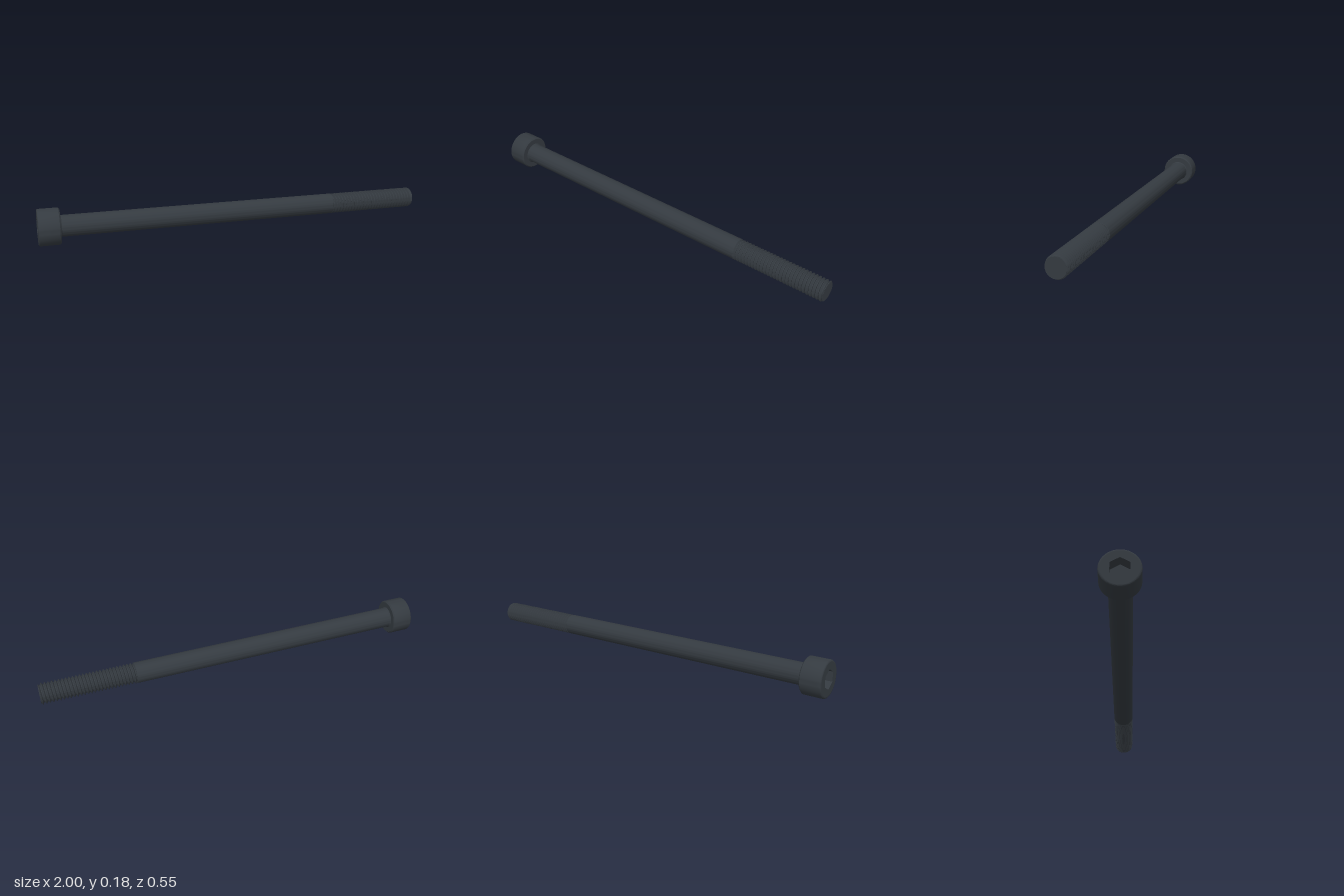
import * as THREE from 'three';
import { toCreasedNormals } from 'three/addons/utils/BufferGeometryUtils.js';

// Distances along the bolt axis, from the outer face of the head to the tip
const HEAD = 0.107, THREAD_START = 1.535, LENGTH = 2.014;
const HEAD_R = 0.0905, SHANK_R = 0.053, ROOT_R = 0.0437, TIP_R = 0.047;
const SOCKET_R = 0.049, SOCKET_DEPTH = 0.053, PITCH = 0.0171;

export function createModel() {
  const steel = new THREE.MeshStandardMaterial({ color: 0x343a40 });
  steel.name = 'dark steel';

  const bolt = new THREE.Group();
  bolt.name = 'bolt';
  const add = (name, geometry) => {
    const mesh = new THREE.Mesh(geometry, steel);
    mesh.name = name;
    bolt.add(mesh);
  };
  // Revolves [radius, distance] points around the axis
  const revolve = (points, segments = 64) =>
    new THREE.LatheGeometry(points.map(([r, y]) => new THREE.Vector2(r, y)), segments);
  const crease = (geometry, angle = 0.5) => toCreasedNormals(geometry, angle);

  // Head side with rounded outer edge and chamfered underside
  const head = [];
  const fillet = 0.009;
  for (let i = 0; i <= 5; i++) {
    const a = (i / 5) * Math.PI / 2;
    head.push([HEAD_R - fillet + fillet * Math.sin(a), fillet - fillet * Math.cos(a)]);
  }
  head.push([HEAD_R, HEAD - 0.006], [HEAD_R - 0.006, HEAD], [SHANK_R - 0.003, HEAD]);
  add('head', crease(revolve(head)));

  // Outer face with the hexagonal socket cut into it
  const face = new THREE.Shape().absarc(0, 0, HEAD_R - fillet, 0, Math.PI * 2);
  const hexagon = [];
  for (let i = 0; i < 6; i++) {
    const a = i * Math.PI / 3;
    hexagon.push(new THREE.Vector2(SOCKET_R * Math.cos(a), SOCKET_R * Math.sin(a)));
  }
  face.holes.push(new THREE.Path(hexagon));
  add('socket', new THREE.ExtrudeGeometry(face, { depth: SOCKET_DEPTH, bevelEnabled: false, curveSegments: 32 })
    .rotateX(-Math.PI / 2));
  add('socketFloor', new THREE.CircleGeometry(SOCKET_R + 0.005, 32)
    .rotateX(Math.PI / 2).translate(0, SOCKET_DEPTH - 0.001, 0));

  // Plain shank with a small fillet under the head
  add('shank', crease(revolve([
    [SHANK_R + 0.004, HEAD], [SHANK_R, HEAD + 0.005],
    [SHANK_R, THREAD_START - 0.002], [SHANK_R - 0.002, THREAD_START], [ROOT_R - 0.002, THREAD_START],
  ])));

  // Helical thread: a toothed profile sheared by one pitch per turn
  const profile = [];
  for (let y = THREAD_START - 2 * PITCH; y < LENGTH + PITCH; y += PITCH) {
    profile.push([ROOT_R, y], [ROOT_R, y + PITCH * 0.2],
      [SHANK_R, y + PITCH * 0.55], [SHANK_R, y + PITCH * 0.68]);
  }
  const thread = revolve(profile, 48);
  const pos = thread.attributes.position, uv = thread.attributes.uv;
  for (let i = 0; i < pos.count; i++) {
    const y = Math.min(pos.getY(i) + PITCH * uv.getX(i), LENGTH - 0.001);
    const r = Math.hypot(pos.getX(i), pos.getZ(i));
    const k = Math.min(r, TIP_R + (LENGTH - y)) / r; // chamfer at the tip
    pos.setXYZ(i, pos.getX(i) * k, y, pos.getZ(i) * k);
  }
  add('thread', crease(thread));

  // Flat tip
  add('tip', crease(revolve([
    [ROOT_R, LENGTH - 0.008], [TIP_R, LENGTH - 0.002], [TIP_R, LENGTH], [0, LENGTH],
  ])));

  // Lay the bolt on the ground, resting on head and tip
  const start = new THREE.Vector3(-0.981, 0.0925, -0.189);
  const end = new THREE.Vector3(0.989, 0.0545, 0.228);
  const axis = end.clone().sub(start).normalize();
  const side = new THREE.Vector3(0, 1, 0).cross(axis).normalize();
  const up = axis.clone().cross(side);
  bolt.quaternion.setFromRotationMatrix(new THREE.Matrix4().makeBasis(up, axis, side));
  bolt.position.copy(start);

  const model = new THREE.Group();
  model.name = 'socketHeadBolt';
  model.add(bolt);
  return model;
}
